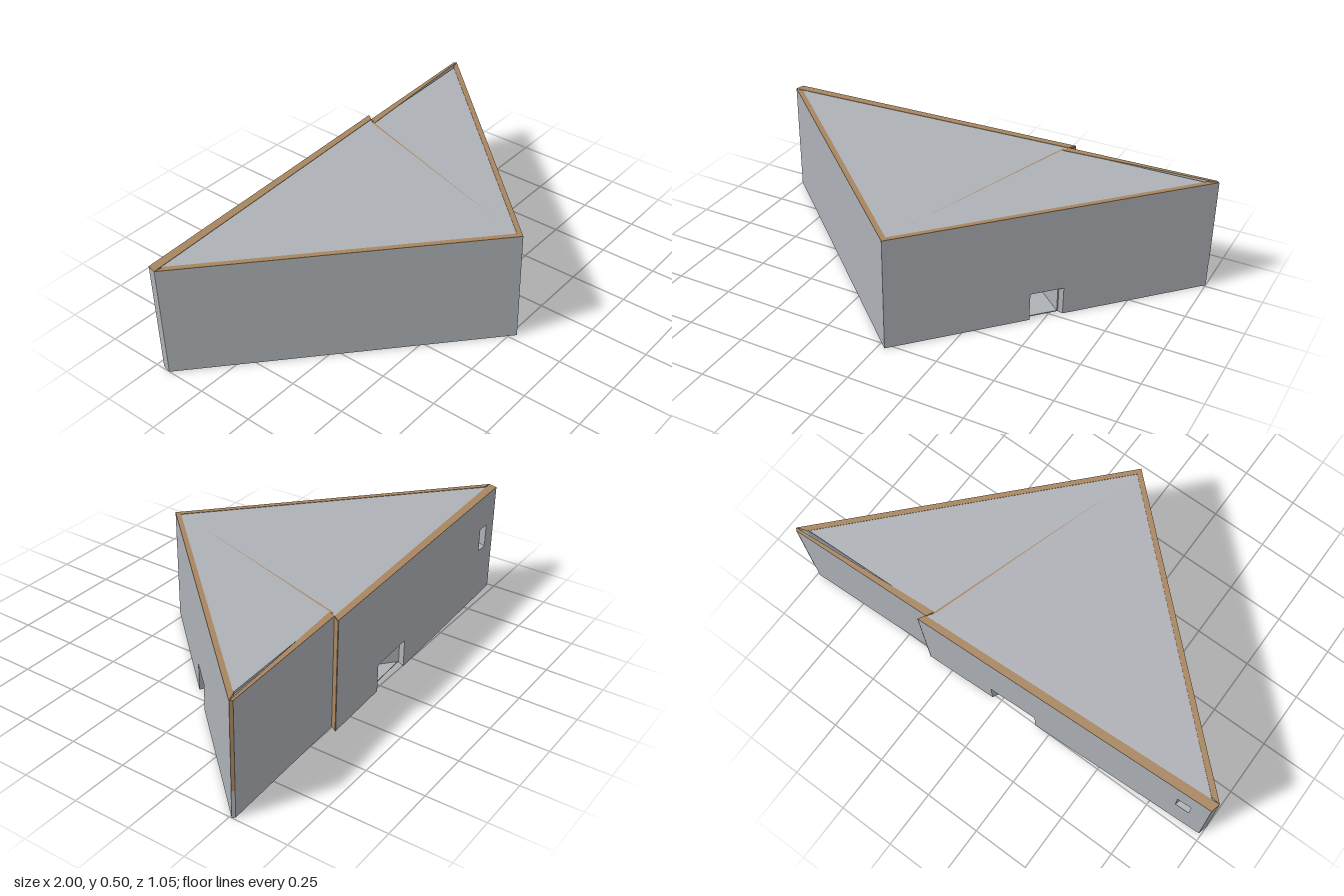
import * as THREE from 'three';

export function createModel() {
  const model = new THREE.Group();
  const grey = new THREE.MeshStandardMaterial({ color: 0xaeb1b6 });
  grey.name = 'concreteGrey';
  const tan = new THREE.MeshStandardMaterial({ color: 0xa88660 });
  tan.name = 'edgeTan';
  const H = 0.5, CAP = 0.003;

  function add(name, geometry, material) {
    const mesh = new THREE.Mesh(geometry, material);
    mesh.name = name;
    model.add(mesh);
    return mesh;
  }

  // Upright slab between an outer line (p,q) and an inner line (pi,qi), given as [x, z].
  // p is on the left seen from outside. Openings are [u0, u1, y0, y1] with u from 0 to 1.
  function slab(name, p, q, pi, qi, y0, y1, material, door, window) {
    const pts = [[0, y0]];
    if (door) pts.push([door[0], y0], [door[0], door[3]], [door[1], door[3]], [door[1], y0]);
    pts.push([1, y0], [1, y1], [0, y1]);
    const shape = new THREE.Shape(pts.map(a => new THREE.Vector2(...a)));
    if (window) {
      const [a, b, c, d] = window;
      shape.holes.push(new THREE.Path([[a, c], [a, d], [b, d], [b, c]].map(v => new THREE.Vector2(...v))));
    }
    const geo = new THREE.ExtrudeGeometry(shape, { depth: 1, bevelEnabled: false });
    const pos = geo.attributes.position;
    const mix = THREE.MathUtils.lerp;
    for (let i = 0; i < pos.count; i++) {
      const u = pos.getX(i), w = pos.getZ(i);
      pos.setXYZ(i,
        mix(mix(pi[0], qi[0], u), mix(p[0], q[0], u), w), pos.getY(i),
        mix(mix(pi[1], qi[1], u), mix(p[1], q[1], u), w));
    }
    geo.computeVertexNormals();
    return add(name, geo, material);
  }

  // Thin upright plate along a line on a wall face
  function plate(name, a, b, y0, y1, material) {
    const dx = b[0] - a[0], dz = b[1] - a[1];
    const mesh = add(name, new THREE.BoxGeometry(Math.hypot(dx, dz), y1 - y0, 0.003), material);
    mesh.position.set((a[0] + b[0]) / 2, (y0 + y1) / 2, (a[1] + b[1]) / 2);
    mesh.rotation.y = Math.atan2(-dz, dx);
  }

  // Corners of the plan
  const front = [0.03, 0.525], frontIn = [0.03, 0.495];
  const left = [1, -0.51], leftIn = [0.955, -0.495], leftBack = [0.99, -0.52];
  const right = [-1, -0.43], rightIn = [-0.96, -0.425], rightBack = [-0.99, -0.47];
  const step = [0.365, -0.525], stepIn = [0.345, -0.495], stepRoom = [0.33, -0.463];

  // Walls with tan top edges
  const walls = [
    ['leftWall', front, left, frontIn, leftIn, [0.433, 0.536, 0, 0.125]],
    ['rightWall', right, front, rightIn, frontIn],
    ['backWallShort', leftBack, stepIn, left, stepRoom],
    ['backWallLong', step, rightBack, stepIn, right, [0.24, 0.402, 0, 0.125], [0.9, 0.945, 0.24, 0.345]],
  ];
  for (const [name, p, q, pi, qi, door, window] of walls) {
    slab(name, p, q, pi, qi, 0, H - CAP, grey, door, window);
    slab(name + 'TopEdge', p, q, pi, qi, H - CAP, H, tan);
  }
  // Tan wall ends
  plate('stepEnd', step, stepIn, 0, H - CAP, tan);
  plate('leftCornerEnd', left, leftBack, 0.12, H - CAP, tan);

  // Roof
  const plan = [[-0.97, -0.435], [0.345, -0.5], [0.33, -0.47], [0.96, -0.49], [0.03, 0.5]];
  const roof = new THREE.ExtrudeGeometry(
    new THREE.Shape(plan.map(([x, z]) => new THREE.Vector2(x, -z))), { depth: 0.01, bevelEnabled: false });
  roof.rotateX(-Math.PI / 2);
  roof.translate(0, 0.488, 0);
  add('roof', roof, grey);

  // Thin tapering seam across the roof
  const seam = new THREE.ShapeGeometry(new THREE.Shape(
    [[0.326, 0.48], [0.334, 0.48], [0.06, -0.38]].map(a => new THREE.Vector2(...a))));
  seam.rotateX(-Math.PI / 2);
  seam.translate(0, 0.499, 0);
  add('roofSeam', seam, tan);

  // Passage joining the two doorways
  const a0 = [0.43, 0.066], a1 = [-0.196, -0.469], b0 = [0.526, -0.036], b1 = [0.022, -0.479];
  const shift = (p, s) => [p[0] + 0.0034 * s, p[1] - 0.0037 * s];
  slab('passageFrontSide', a1, a0, shift(a1, 1), shift(a0, 1), 0, 0.125, grey);
  slab('passageBackSide', b0, b1, shift(b0, -1), shift(b1, -1), 0, 0.125, grey);
  slab('passageFloor', a1, a0, b1, b0, 0, 0.004, grey);
  slab('passageCeiling', a1, a0, b1, b0, 0.125, 0.129, grey);

  return model;
}
